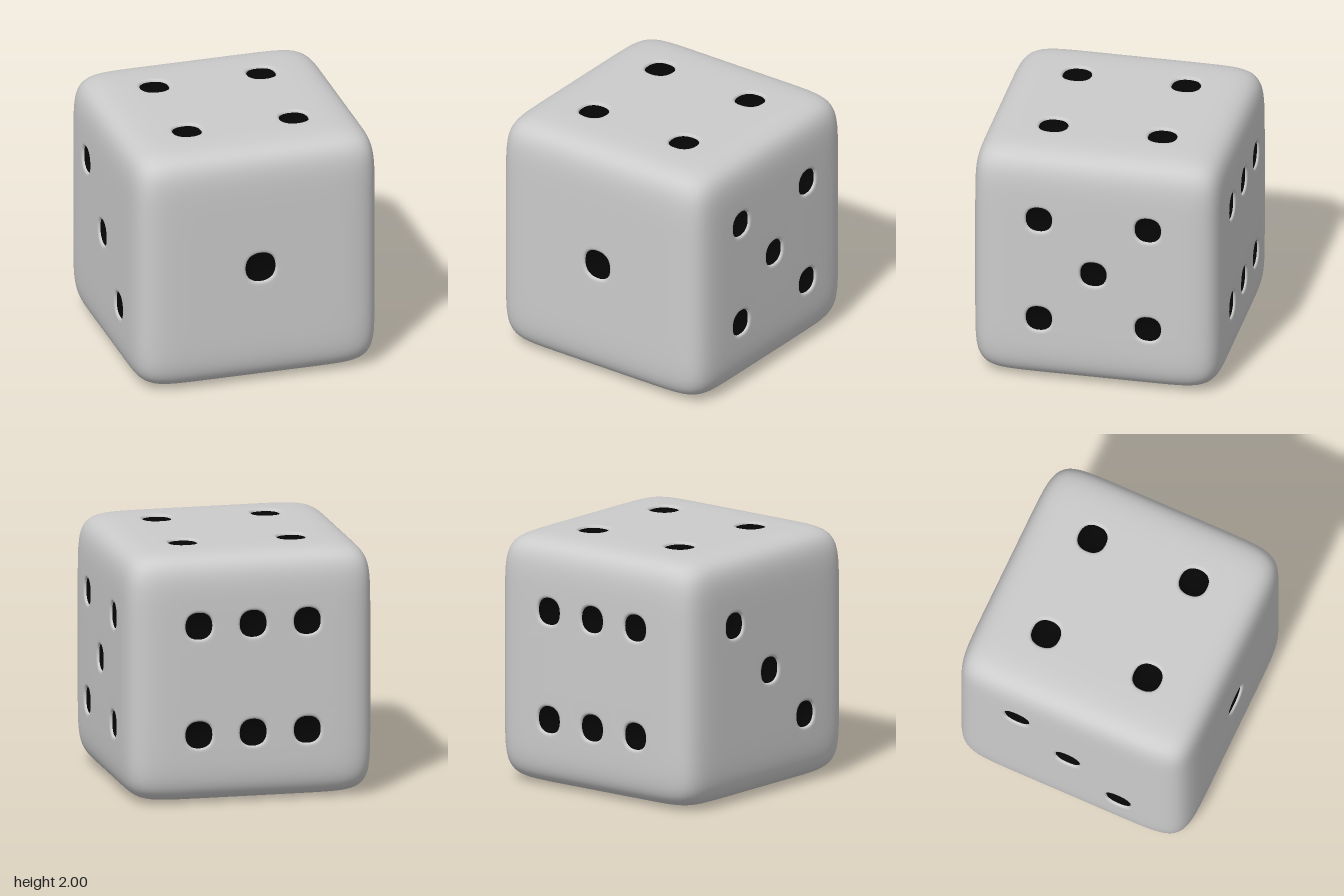
import * as THREE from 'three';
import { mergeVertices } from 'three/addons/utils/BufferGeometryUtils.js';

const ROUND = 9.5;    // exponent of the soft cube: higher is sharper
const STEP = 0.437;   // spacing of the pips
const SEG = 10;       // segments along one cell
const RIM = 0.02;     // depth at which the dark bowl begins
const BOWL = 0.075;   // depth of the bowl below its rim

// Each face: outward normal n, in-plane axes u x v = n, pip radius and pip cells
const FACES = [
  { name: 'one', n: [0, 0, 1], u: [1, 0, 0], v: [0, 1, 0], r: 0.122, pips: [[0, 0]] },
  { name: 'two', n: [0, -1, 0], u: [1, 0, 0], v: [0, 0, 1], r: 0.118, pips: [[-1, 0], [1, 0]] },
  { name: 'three', n: [-1, 0, 0], u: [0, 0, 1], v: [0, 1, 0], r: 0.105, pips: [[-1, 1], [0, 0], [1, -1]] },
  { name: 'four', n: [0, 1, 0], u: [1, 0, 0], v: [0, 0, -1], r: 0.114, pips: [[-1, -1], [1, -1], [-1, 1], [1, 1]] },
  { name: 'five', n: [1, 0, 0], u: [0, 0, -1], v: [0, 1, 0], r: 0.105, pips: [[-1, -1], [1, -1], [0, 0], [-1, 1], [1, 1]] },
  { name: 'six', n: [0, 0, -1], u: [-1, 0, 0], v: [0, 1, 0], r: 0.108, pips: [[-1, -1], [0, -1], [1, -1], [-1, 1], [0, 1], [1, 1]] },
];

// Point of the soft cube at (a, b) on a face, sunk by depth
function facePoint(face, a, b, depth = 0) {
  const p = face.n.map((n, i) => n + a * face.u[i] + b * face.v[i]);
  const len = p.reduce((s, c) => s + Math.abs(c) ** ROUND, 0) ** (1 / ROUND);
  return p.map((c, i) => c / len - depth * face.n[i] + (i === 1 ? 1 : 0));
}

// Adds the quads between successive rows of points
function addRows(out, rows) {
  for (let i = 0; i + 1 < rows.length; i++) {
    for (let j = 0; j + 1 < rows[i].length; j++) {
      const a = rows[i][j], b = rows[i][j + 1], c = rows[i + 1][j + 1], d = rows[i + 1][j];
      out.push(...a, ...b, ...c, ...a, ...c, ...d);
    }
  }
}

function smoothGeometry(positions) {
  const flat = new THREE.BufferGeometry();
  flat.setAttribute('position', new THREE.Float32BufferAttribute(positions, 3));
  const geometry = mergeVertices(flat, 1e-4);
  geometry.computeVertexNormals();
  return geometry;
}

// Outline of the square from -1 to 1, counter-clockwise and closed
const SQUARE = [];
for (let side = 0; side < 4; side++) {
  for (let k = 0; k < SEG; k++) {
    let p = [1, -1 + (2 * k) / SEG];
    for (let q = 0; q < side; q++) p = [-p[1], p[0]];
    SQUARE.push(p);
  }
}
SQUARE.push(SQUARE[0]);

// Slightly squarish ring around a pip centre
function pipRing(face, cu, cv, radius, depth) {
  return SQUARE.map(([a, b]) => {
    const len = (Math.abs(a) ** 2.3 + Math.abs(b) ** 2.3) ** (1 / 2.3);
    return facePoint(face, cu + (a / len) * radius, cv + (b / len) * radius, depth);
  });
}

// Cell of the body with a hole whose edge rolls inwards
function addHoleCell(out, face, cu, cv) {
  const h = STEP / 2;
  const rows = [SQUARE.map(([a, b]) => facePoint(face, cu + a * h, cv + b * h))];
  for (const [scale, depth] of [[1.3, 0], [1.16, 0.001], [1.08, 0.004], [1.03, 0.01], [1, RIM]]) {
    rows.push(pipRing(face, cu, cv, face.r * scale, depth));
  }
  addRows(out, rows);
}

// Plain cell of the body
function addPlainCell(out, face, u0, u1, v0, v1) {
  const rows = [];
  for (let i = 0; i <= SEG; i++) {
    const row = [];
    for (let j = 0; j <= SEG; j++) {
      row.push(facePoint(face, u0 + ((u1 - u0) * j) / SEG, v0 + ((v1 - v0) * i) / SEG));
    }
    rows.push(row);
  }
  addRows(out, rows);
}

// Dark bowl of one pip
function bowlGeometry(face, cu, cv) {
  const rows = [];
  for (let k = 0; k <= 8; k++) {
    const t = (k / 8) * Math.PI / 2;
    rows.push(pipRing(face, cu, cv, face.r * Math.cos(t), RIM + BOWL * Math.sin(t)));
  }
  const out = [];
  addRows(out, rows);
  return smoothGeometry(out);
}

export function createModel() {
  const model = new THREE.Group();
  model.name = 'die';
  const bodyMaterial = new THREE.MeshStandardMaterial({ color: 0xcccccc });
  const pipMaterial = new THREE.MeshStandardMaterial({ color: 0x050505 });

  // Body: five by five cells on every face, with holes where the pips sit
  const lines = [-1, -1.5 * STEP, -0.5 * STEP, 0.5 * STEP, 1.5 * STEP, 1];
  const body = [];
  for (const face of FACES) {
    for (let i = 0; i < 5; i++) {
      for (let j = 0; j < 5; j++) {
        if (face.pips.some(([a, b]) => a === j - 2 && b === i - 2)) {
          addHoleCell(body, face, (j - 2) * STEP, (i - 2) * STEP);
        } else {
          addPlainCell(body, face, lines[j], lines[j + 1], lines[i], lines[i + 1]);
        }
      }
    }
  }
  const bodyMesh = new THREE.Mesh(smoothGeometry(body), bodyMaterial);
  bodyMesh.name = 'body';
  model.add(bodyMesh);

  // Pips, grouped by face
  for (const face of FACES) {
    const group = new THREE.Group();
    group.name = `${face.name}Pips`;
    for (const [a, b] of face.pips) {
      const pip = new THREE.Mesh(bowlGeometry(face, a * STEP, b * STEP), pipMaterial);
      pip.name = 'pip';
      group.add(pip);
    }
    model.add(group);
  }
  return model;
}
